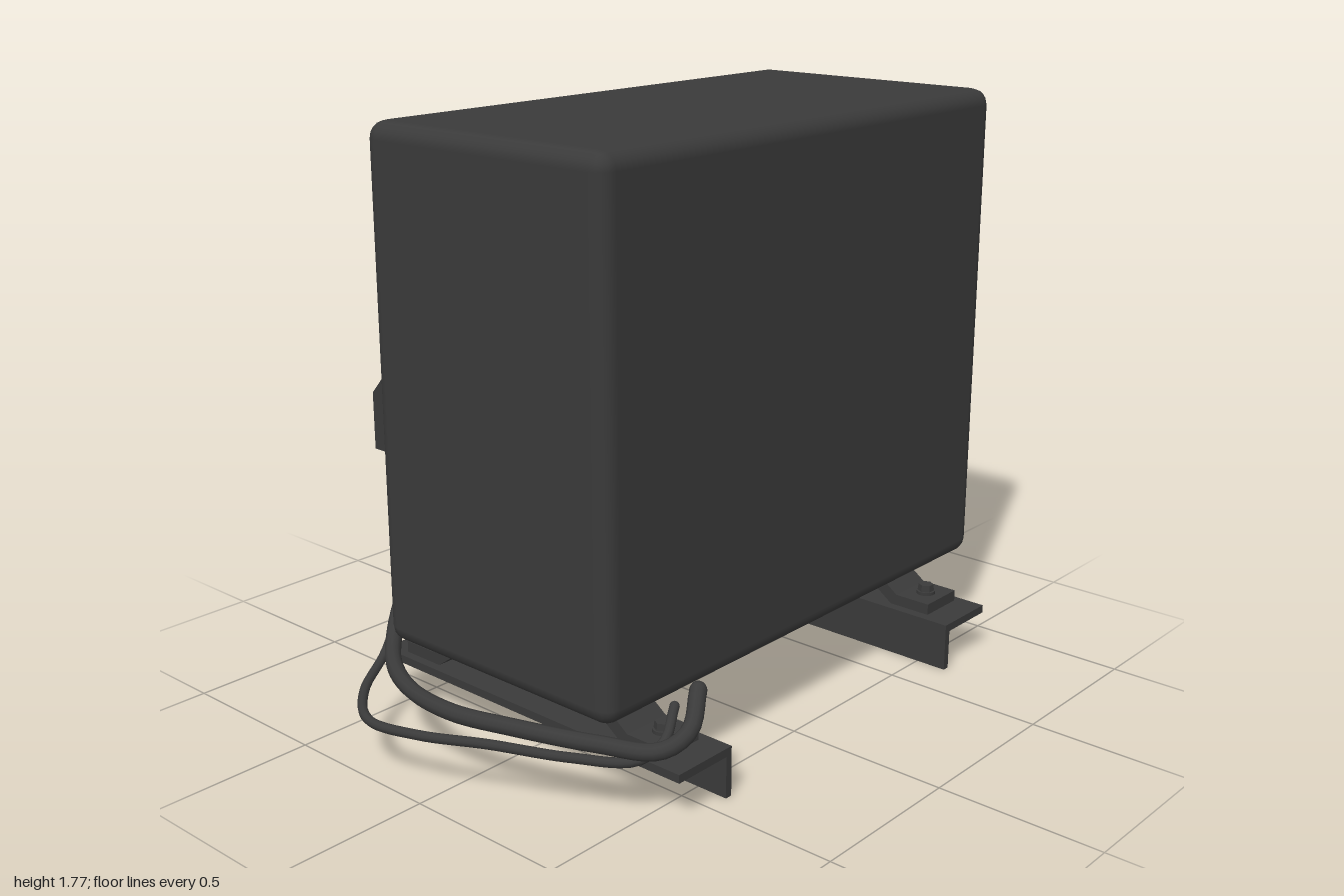
import * as THREE from 'three';
import { toCreasedNormals } from 'three/addons/utils/BufferGeometryUtils.js';
import { RoundedBoxGeometry } from 'three/addons/geometries/RoundedBoxGeometry.js';

const dark = new THREE.MeshStandardMaterial({ color: 0x3a3a3a });

function add(parent, name, geometry, x = 0, y = 0, z = 0) {
  const mesh = new THREE.Mesh(geometry, dark);
  mesh.name = name;
  mesh.position.set(x, y, z);
  parent.add(mesh);
  return mesh;
}

function polygon(points) {
  return new THREE.Shape(points.map(([x, y]) => new THREE.Vector2(x, y)));
}

function extrude(shape, depth) {
  return new THREE.ExtrudeGeometry(shape, { depth, bevelEnabled: false });
}

// Rounded rectangle plate with its front edge bevelled
function plate(w, h, r, depth, bevelSize, bevelThickness) {
  const s = new THREE.Shape();
  const a = w / 2 - bevelSize, b = h / 2 - bevelSize;
  s.absarc(a - r, b - r, r, 0, Math.PI / 2);
  s.absarc(-a + r, b - r, r, Math.PI / 2, Math.PI);
  s.absarc(-a + r, -b + r, r, Math.PI, Math.PI * 1.5);
  s.absarc(a - r, -b + r, r, Math.PI * 1.5, Math.PI * 2);
  const g = new THREE.ExtrudeGeometry(s, {
    depth, bevelSize, bevelThickness, bevelSegments: 3, curveSegments: 5,
  });
  return toCreasedNormals(g, 0.6);
}

// Bolt with washer, standing along +y from its origin
function bolt(name, radius, height) {
  const group = new THREE.Group();
  group.name = name;
  add(group, 'washer', new THREE.CylinderGeometry(radius * 1.15, radius * 1.15, height * 0.35, 16), 0, height * 0.175);
  const head = new THREE.CylinderGeometry(radius * 0.9, radius, height * 0.65, 6);
  add(group, 'boltHead', toCreasedNormals(head, 0.3), 0, height * 0.675);
  return group;
}

// Bent pipe with rounded ends
function pipe(parent, name, points, radius) {
  const pts = points.map((p) => new THREE.Vector3(...p));
  const curve = new THREE.CatmullRomCurve3(pts);
  add(parent, name, new THREE.TubeGeometry(curve, 72, radius, 10));
  for (const p of [pts[0], pts[pts.length - 1]]) {
    add(parent, name + 'End', new THREE.SphereGeometry(radius, 10, 8), p.x, p.y, p.z);
  }
}

export function createModel() {
  const model = new THREE.Group();
  model.name = 'outdoorCoolingUnit';

  // Main casing
  add(model, 'casing', new RoundedBoxGeometry(0.885, 1.51, 1.735, 2, 0.05), 0.0075, 1.015, -0.1325);

  // Fan side: local x runs along world z, local z points to world -x
  const side = new THREE.Group();
  side.name = 'fanSide';
  side.rotation.y = -Math.PI / 2;
  model.add(side);

  add(side, 'fanPanel', plate(1.25, 1.29, 0.07, 0.06, 0.035, 0.075), -0.268, 1.045, 0.41);

  // Fan cover: bevelled rim with a shallow dome
  const profile = [
    [0.53, 0.5], [0.53, 0.565], [0.508, 0.625], [0.498, 0.635], [0.48, 0.635],
    [0.468, 0.618], [0.35, 0.624], [0.22, 0.632], [0.1, 0.638], [0, 0.64],
  ].map(([r, h]) => new THREE.Vector2(r, h));
  const fan = add(side, 'fanCover', toCreasedNormals(new THREE.LatheGeometry(profile, 40), 0.35), -0.28, 1.07, 0);
  fan.rotation.x = Math.PI / 2;

  for (const z of [-0.79, 0.24]) {
    for (const y of [0.5, 1.58]) {
      const b = bolt('panelBolt', 0.042, 0.042);
      b.rotation.x = Math.PI / 2;
      b.position.set(z, y, 0.544);
      side.add(b);
    }
  }

  // Hand grip and louvres beside the fan
  add(side, 'handGrip', plate(0.22, 0.24, 0.05, 0.02, 0.012, 0.012), 0.52, 1.535, 0.434);
  for (let i = 0; i < 3; i++) {
    const bar = add(side, 'louvre', new THREE.CapsuleGeometry(0.022, 0.18, 4, 10), 0.53, 1.205 + i * 0.06, 0.44);
    bar.rotation.z = Math.PI / 2;
  }

  // Valve cover and pipe fittings
  const coverShape = polygon([[-0.43, 0.8], [-0.43, 1.06], [-0.47, 1.06], [-0.55, 0.97], [-0.55, 0.8]].reverse());
  add(model, 'valveCover', extrude(coverShape, 0.23), 0, 0, 0.42);
  for (const [x, z, r] of [[-0.487, 0.59, 0.035], [-0.515, 0.49, 0.026]]) {
    add(model, 'fittingNut', toCreasedNormals(new THREE.CylinderGeometry(r, r, 0.05, 6), 0.3), x, 0.775, z);
    add(model, 'fittingCollar', new THREE.CylinderGeometry(r * 0.85, r * 0.85, 0.05, 14), x, 0.735, z);
  }

  // Pipes sweeping round the front
  pipe(model, 'thickPipe', [
    [-0.487, 0.75, 0.59], [-0.5, 0.55, 0.59], [-0.495, 0.38, 0.61], [-0.45, 0.28, 0.69],
    [-0.34, 0.235, 0.79], [-0.2, 0.22, 0.85], [0, 0.225, 0.875], [0.2, 0.235, 0.84],
    [0.42, 0.225, 0.745], [0.57, 0.225, 0.665], [0.612, 0.27, 0.6], [0.57, 0.345, 0.515],
  ], 0.024);
  pipe(model, 'thinPipe', [
    [-0.515, 0.75, 0.49], [-0.53, 0.55, 0.52], [-0.51, 0.35, 0.6], [-0.46, 0.215, 0.72],
    [-0.38, 0.165, 0.87], [-0.23, 0.16, 0.975], [-0.05, 0.17, 0.955], [0.15, 0.185, 0.885],
    [0.36, 0.18, 0.785], [0.51, 0.185, 0.69], [0.54, 0.22, 0.62], [0.5, 0.28, 0.53],
  ], 0.014);

  // Angle rails with bent mounting straps, mirrored front to back
  const strap = [
    [-0.51, 0.15], [-0.37, 0.15], [-0.25, 0.235], [0.25, 0.235], [0.37, 0.15], [0.51, 0.15],
    [0.51, 0.185], [0.39, 0.185], [0.28, 0.265], [-0.28, 0.265], [-0.39, 0.185], [-0.51, 0.185],
  ];
  for (const s of [1, -1]) {
    const mount = new THREE.Group();
    mount.name = s > 0 ? 'frontMount' : 'backMount';
    mount.position.z = -0.115;
    model.add(mount);
    add(mount, 'railTop', new THREE.BoxGeometry(1.185, 0.025, 0.215), 0.0075, 0.1375, s * 0.6325);
    add(mount, 'railWeb', new THREE.BoxGeometry(1.185, 0.13, 0.022), 0.0075, 0.065, s * 0.536);
    add(mount, 'strap', extrude(polygon(strap), 0.155), 0, 0, s * 0.635 - 0.0775);
    for (const x of [-0.45, 0.45]) {
      const b = bolt('footBolt', 0.026, 0.032);
      b.position.set(x, 0.184, s * 0.635);
      mount.add(b);
    }
  }
  return model;
}
